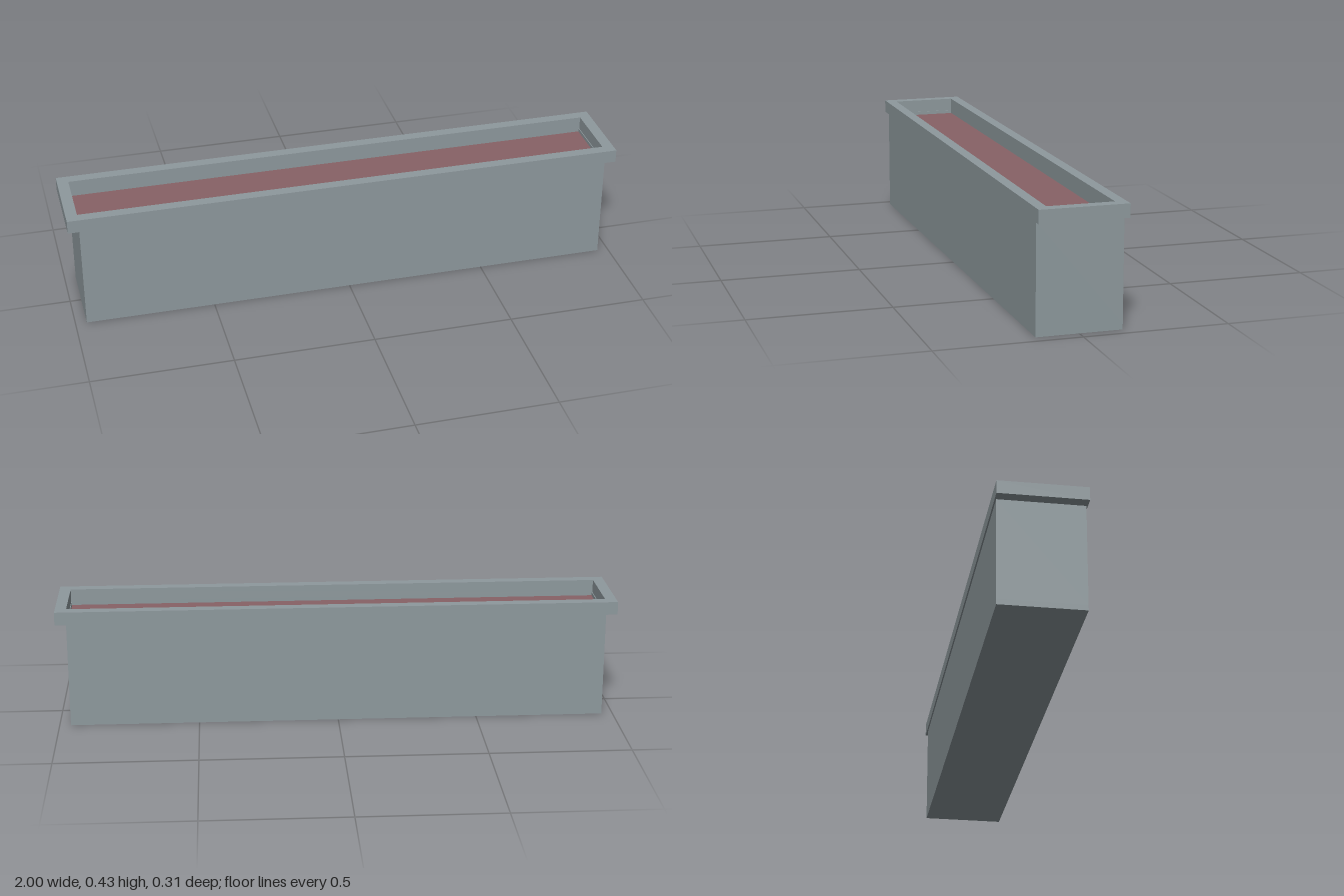
import * as THREE from 'three';

const stone = new THREE.MeshStandardMaterial({ color: 0x8e999d });
stone.name = 'greyStone';
const earth = new THREE.MeshStandardMaterial({ color: 0x876266 });
earth.name = 'redBrownSoil';

// Closed rectangle centred on the origin, from half sizes
function rectangle(Type, hx, hz) {
  const r = new Type();
  r.moveTo(-hx, -hz);
  r.lineTo(hx, -hz);
  r.lineTo(hx, hz);
  r.lineTo(-hx, hz);
  r.closePath();
  return r;
}

// Hollow rectangular frame standing between heights y0 and y1
function frame(name, outer, inner, y0, y1) {
  const shape = rectangle(THREE.Shape, ...outer);
  shape.holes.push(rectangle(THREE.Path, ...inner));
  const geometry = new THREE.ExtrudeGeometry(shape, { depth: y1 - y0, bevelEnabled: false });
  geometry.rotateX(-Math.PI / 2).translate(0, y0, 0);
  const mesh = new THREE.Mesh(geometry, stone);
  mesh.name = name;
  return mesh;
}

// Solid slab between heights y0 and y1
function slab(name, [hx, hz], y0, y1, material) {
  const geometry = new THREE.BoxGeometry(hx * 2, y1 - y0, hz * 2);
  geometry.translate(0, (y0 + y1) / 2, 0);
  const mesh = new THREE.Mesh(geometry, material);
  mesh.name = name;
  return mesh;
}

export function createModel() {
  const planter = new THREE.Group();
  planter.name = 'planter';

  const bodySize = [0.96, 0.148];
  const cavity = [0.957, 0.115];

  planter.add(
    // Trough
    slab('floor', bodySize, 0, 0.02, stone),
    frame('walls', bodySize, cavity, 0.02, 0.38),
    // Overhanging lip
    frame('rim', [1, 0.153], [0.96, 0.115], 0.38, 0.427),
    // Filling, slightly below the lip
    slab('soil', cavity, 0.02, 0.368, earth),
  );
  return planter;
}
